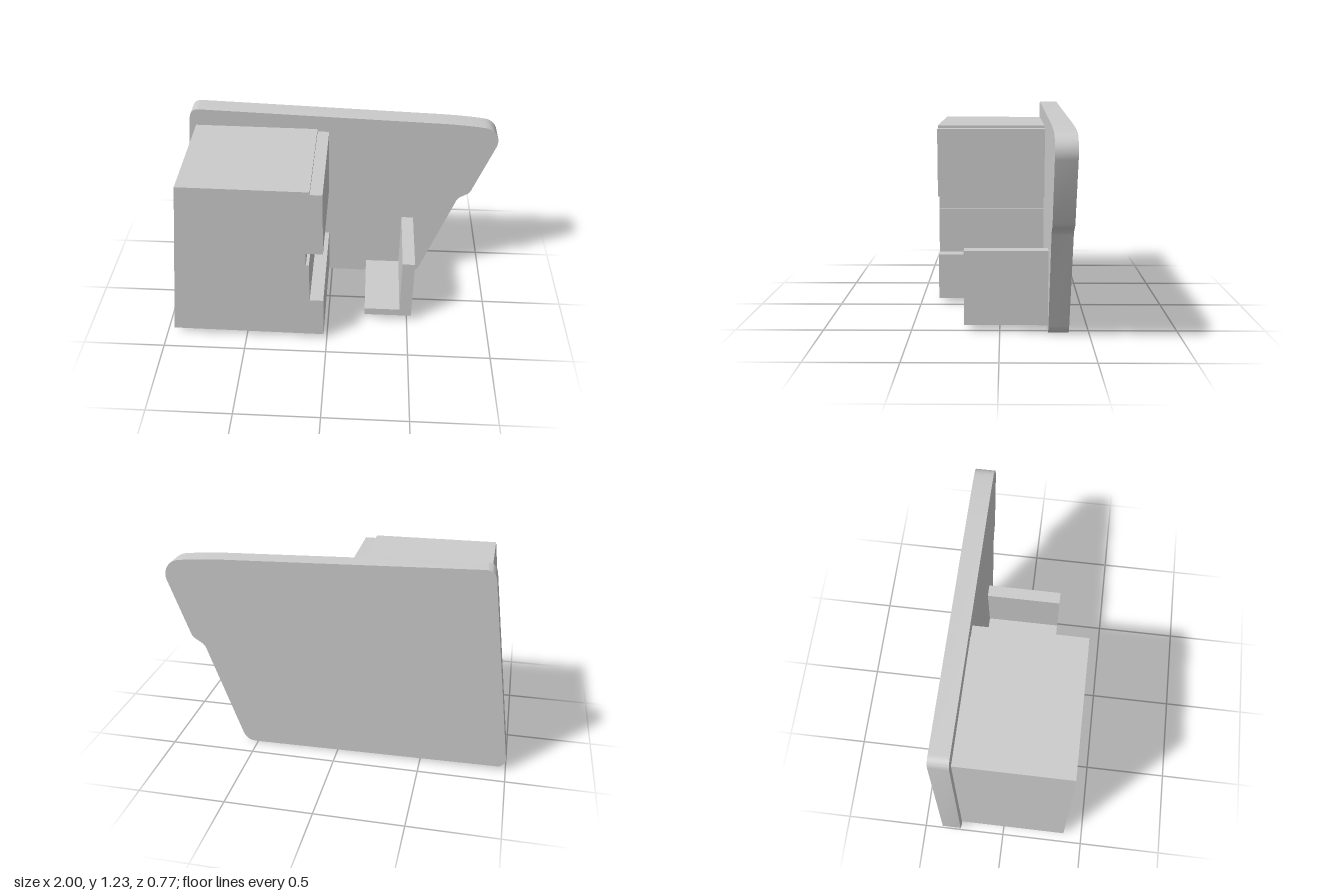
import * as THREE from 'three';
import { toCreasedNormals } from 'three/addons/utils/BufferGeometryUtils.js';

const BACK = -0.385, SEAT = -0.27;

function extrude(name, shape, z0, z1) {
  const geo = new THREE.ExtrudeGeometry(shape, { depth: z1 - z0, bevelEnabled: false, curveSegments: 10 });
  geo.translate(0, 0, z0);
  const mesh = new THREE.Mesh(toCreasedNormals(geo, 0.5), new THREE.MeshStandardMaterial({ color: 0xcccccc }));
  mesh.name = name;
  return mesh;
}

const polygon = (points) => new THREE.Shape(points.map(([x, y]) => new THREE.Vector2(x, y)));

// Slanted plate outline with rounded corners and a step on its left edge
function plateShape() {
  const s = new THREE.Shape();
  s.moveTo(-0.965, 0.022);
  s.lineTo(0.50, 0.002);
  s.bezierCurveTo(0.55, 0.001, 0.576, 0.016, 0.592, 0.058);
  s.lineTo(0.79, 0.615);
  s.quadraticCurveTo(0.798, 0.637, 0.818, 0.648);
  s.lineTo(0.85, 0.668);
  s.quadraticCurveTo(0.868, 0.678, 0.876, 0.70);
  s.lineTo(0.995, 1.03);
  s.bezierCurveTo(1.012, 1.085, 0.978, 1.145, 0.92, 1.155);
  s.quadraticCurveTo(0.79, 1.174, 0.59, 1.18);
  s.lineTo(-0.80, 1.231);
  s.bezierCurveTo(-0.84, 1.231, -0.856, 1.214, -0.862, 1.175);
  s.lineTo(-0.999, 0.07);
  s.quadraticCurveTo(-1.0, 0.05, -0.965, 0.022);
  return s;
}

export function createModel() {
  const model = new THREE.Group();
  model.name = 'bracketPlate';

  model.add(extrude('backPlate', plateShape(), BACK, SEAT));

  // Large block with a notched inner side
  model.add(extrude('notchedBlock', polygon([
    [-0.953, 0.044], [-0.02, 0.036], [-0.02, 0.32], [-0.102, 0.32],
    [-0.102, 0.597], [-0.12, 0.597], [-0.12, 0.684], [-0.02, 0.684],
    [-0.02, 1.10], [-0.09, 1.10], [-0.09, 1.117], [-0.828, 1.124],
  ]), SEAT, 0.385));

  // L-shaped rail
  model.add(extrude('angleRail', polygon([
    [0.23, 0.042], [0.525, 0.042], [0.525, 0.47], [0.45, 0.47], [0.45, 0.092], [0.23, 0.092],
  ]), SEAT, 0.20));

  return model;
}
